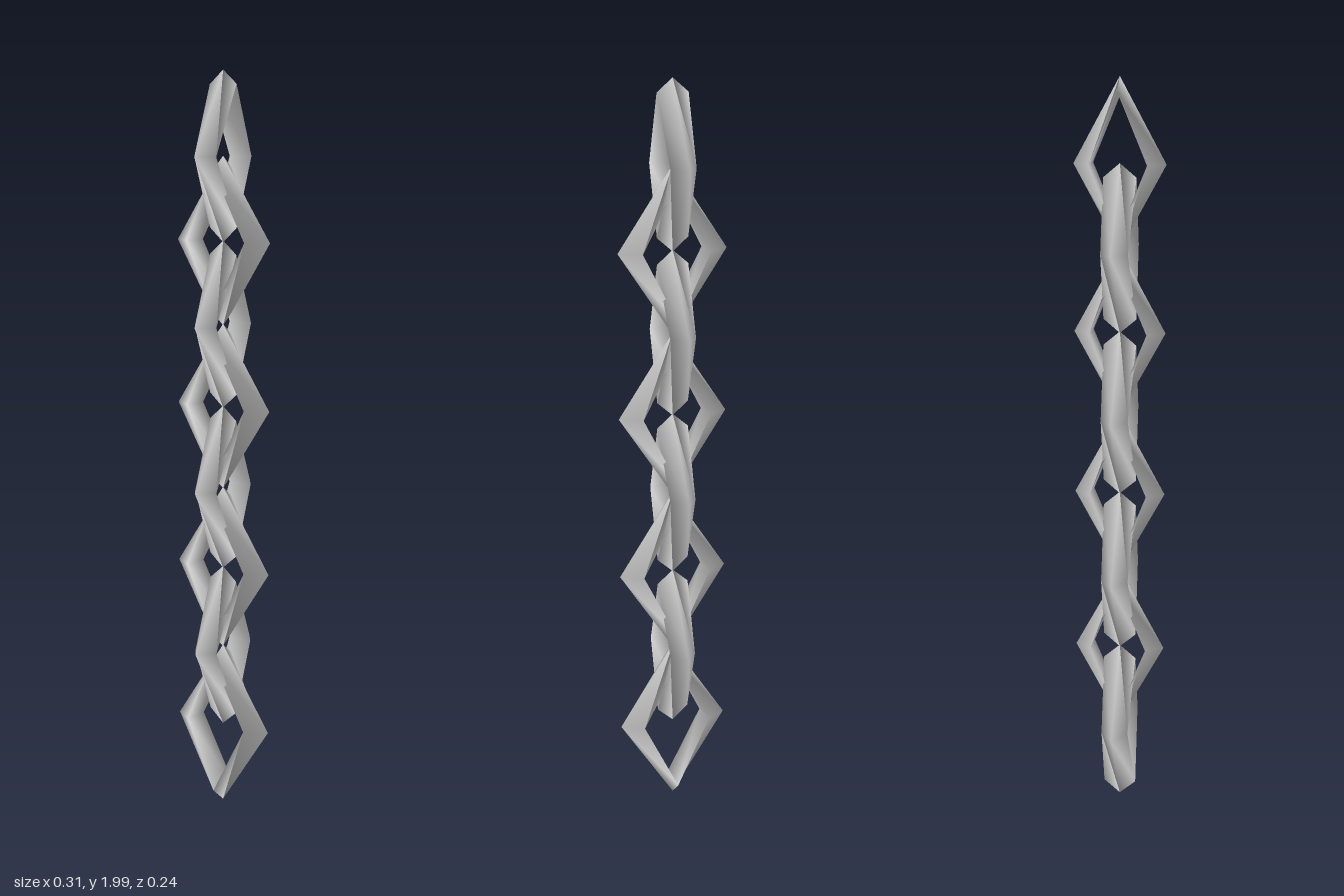
import * as THREE from 'three';

const material = new THREE.MeshStandardMaterial({ color: 0xcccccc });

// Diamond ring lying in the xy plane, with a three-sided bar whose ridge points outward
function linkGeometry(halfWidth, innerWidth) {
  const halfHeight = 0.223, innerHeight = 0.186;
  const positions = [], index = [];
  for (let i = 0; i < 4; i++) {
    const c = Math.round(Math.cos(i * Math.PI / 2));
    const s = Math.round(Math.sin(i * Math.PI / 2));
    const depth = s ? 0.044 : 0.036; // bar is a little thicker at top and bottom
    positions.push(
      c * halfWidth, s * halfHeight, 0,
      c * innerWidth, s * innerHeight, depth,
      c * innerWidth, s * innerHeight, -depth
    );
    for (let j = 0; j < 3; j++) {
      const k = (j + 1) % 3, n = ((i + 1) % 4) * 3;
      index.push(i * 3 + j, n + j, n + k, i * 3 + j, n + k, i * 3 + k);
    }
  }
  const geometry = new THREE.BufferGeometry();
  geometry.setAttribute('position', new THREE.Float32BufferAttribute(positions, 3));
  geometry.setIndex(index);
  geometry.computeVertexNormals();
  return geometry;
}

export function createModel() {
  const chain = new THREE.Group();
  chain.name = 'chain';
  const wide = linkGeometry(0.153, 0.096);
  const narrow = linkGeometry(0.122, 0.076);

  // Links alternate: wide ones face front, narrow ones are turned a quarter
  for (let i = 0; i < 8; i++) {
    const turned = i % 2 === 1;
    const link = new THREE.Mesh(turned ? narrow : wide, material);
    link.name = (turned ? 'sideLink' : 'frontLink') + (Math.floor(i / 2) + 1);
    link.position.y = 0.231 + i * 0.2209;
    if (turned) link.rotation.y = Math.PI / 2;
    chain.add(link);
  }
  return chain;
}
